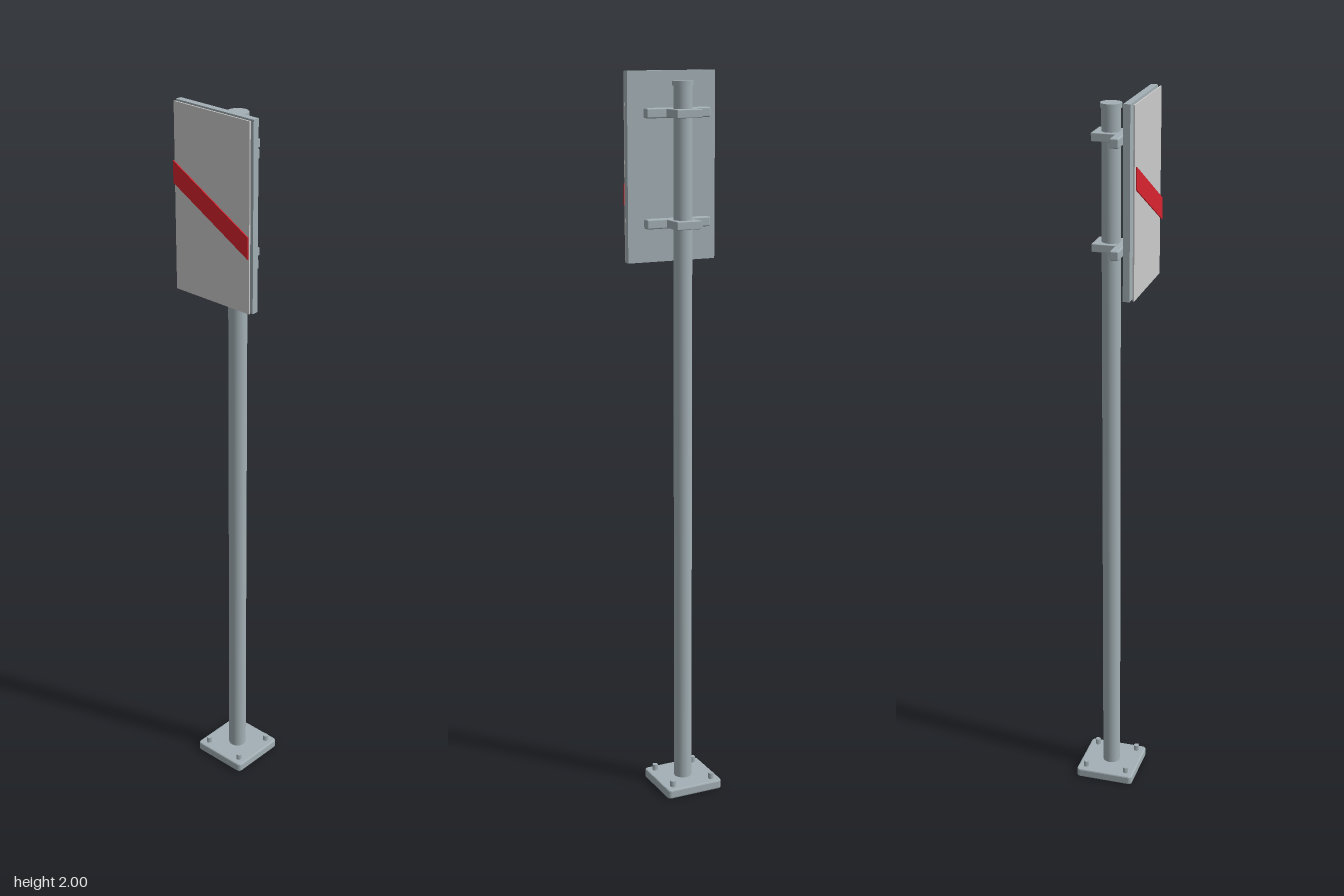
import * as THREE from 'three';
import { RoundedBoxGeometry } from 'three/addons/geometries/RoundedBoxGeometry.js';

const POLE_Z = -0.01;

export function createModel() {
  const model = new THREE.Group();
  model.name = 'signPost';

  const steel = new THREE.MeshStandardMaterial({ color: 0xa3b0b5 });
  const face = new THREE.MeshStandardMaterial({ color: 0xcccccc });
  const red = new THREE.MeshStandardMaterial({ color: 0xd8232e });

  const add = (name, geometry, material, x, y, z) => {
    const mesh = new THREE.Mesh(geometry, material);
    mesh.name = name;
    mesh.position.set(x, y, z);
    model.add(mesh);
    return mesh;
  };

  // Base plate: rounded corners in plan, softened top and bottom edges
  const bevel = 0.004, half = 0.084 - bevel, r = 0.007;
  const plan = new THREE.Shape();
  plan.absarc(half - r, half - r, r, 0, Math.PI / 2);
  plan.absarc(-half + r, half - r, r, Math.PI / 2, Math.PI);
  plan.absarc(-half + r, -half + r, r, Math.PI, Math.PI * 1.5);
  plan.absarc(half - r, -half + r, r, Math.PI * 1.5, Math.PI * 2);
  plan.closePath();
  const plate = new THREE.ExtrudeGeometry(plan, {
    depth: 0.026 - 2 * bevel, bevelThickness: bevel, bevelSize: bevel, bevelSegments: 2, curveSegments: 5,
  });
  plate.rotateX(-Math.PI / 2);
  add('basePlate', plate, steel, 0, bevel, POLE_Z);

  // Hexagonal anchor bolts in the four corners
  for (const sx of [-1, 1]) {
    for (const sz of [-1, 1]) {
      add('anchorBolt', new THREE.CylinderGeometry(0.008, 0.008, 0.022, 6), steel, sx * 0.06, 0.032, POLE_Z + sz * 0.06);
    }
  }

  // Pole with a slightly wider cap
  add('pole', new THREE.CylinderGeometry(0.025, 0.025, 1.95, 32), steel, 0, 0.995, POLE_Z);
  add('poleCap', new THREE.CylinderGeometry(0.028, 0.028, 0.012, 32), steel, 0, 1.969, POLE_Z);

  // Two clamps around the pole, each with a cross bar behind the panel
  for (const y of [1.606, 1.893]) {
    add('poleClamp', new RoundedBoxGeometry(0.073, 0.022, 0.078, 2, 0.002), steel, 0, y, -0.014);
    add('crossBar', new RoundedBoxGeometry(0.185, 0.026, 0.024, 2, 0.004), steel, 0, y, 0.024);
  }

  // Sign panel with a thin face sheet
  add('signPanel', new THREE.BoxGeometry(0.256, 0.5, 0.018), steel, 0, 1.75, 0.067);
  add('faceSheet', new THREE.BoxGeometry(0.25, 0.496, 0.004), face, 0, 1.75, 0.085);

  // Diagonal stripe, falling from the viewer's left to right
  const band = new THREE.Shape([
    new THREE.Vector2(-0.125, 1.79),
    new THREE.Vector2(0.125, 1.65),
    new THREE.Vector2(0.125, 1.708),
    new THREE.Vector2(-0.125, 1.848),
  ]);
  add('diagonalStripe', new THREE.ExtrudeGeometry(band, { depth: 0.003, bevelEnabled: false }), red, 0, 0, 0.09);

  return model;
}
